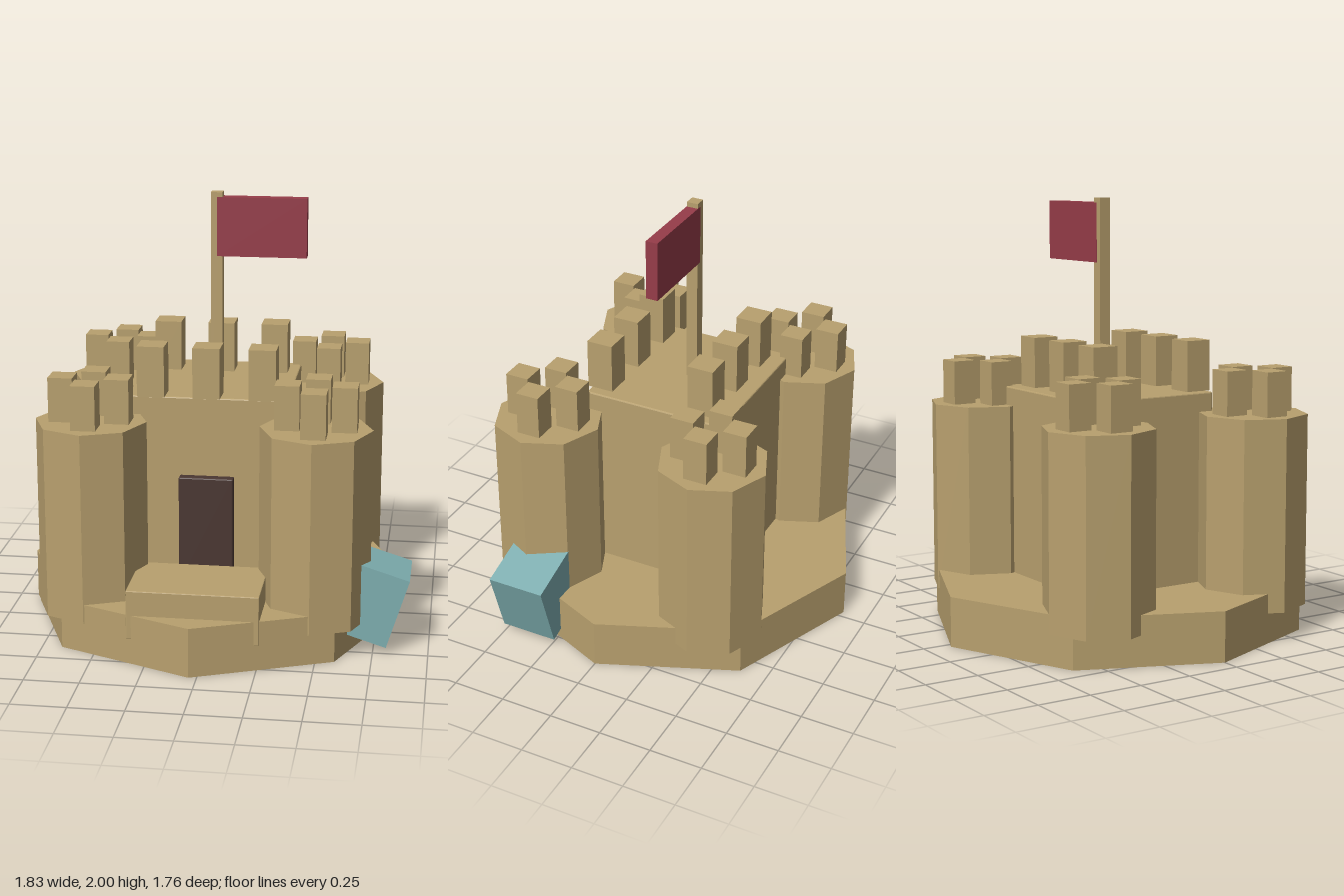
import * as THREE from 'three';
import { RoundedBoxGeometry } from 'three/addons/geometries/RoundedBoxGeometry.js';

const CX = -0.0365; // castle axis

function material(name, color) {
  const m = new THREE.MeshStandardMaterial({ color, flatShading: true });
  m.name = name;
  return m;
}

export function createModel() {
  const model = new THREE.Group();
  model.name = 'sandcastle';
  const sand = material('sand', 0xb8a06e);
  const red = material('flagRed', 0x963c49);
  const teal = material('bucketTeal', 0x7eaeb0);
  const dark = material('doorBrown', 0x4a3732);

  const add = (name, geometry, mat, x, y, z, parent = model) => {
    const mesh = new THREE.Mesh(geometry, mat);
    mesh.name = name;
    mesh.position.set(x, y, z);
    parent.add(mesh);
    return mesh;
  };
  // Box given by its lower and upper corners, optionally with a tiny chamfer
  const block = (name, mat, [x0, y0, z0], [x1, y1, z1], chamfer = 0) => {
    const size = [x1 - x0, y1 - y0, z1 - z0];
    const geometry = chamfer
      ? new RoundedBoxGeometry(...size, 1, chamfer)
      : new THREE.BoxGeometry(...size);
    return add(name, geometry, mat, (x0 + x1) / 2, (y0 + y1) / 2, (z0 + z1) / 2);
  };

  // Octagonal mound
  add('base', new THREE.CylinderGeometry(0.88, 0.88, 0.23, 8), sand, CX, 0.115, 0);

  // Central keep, front step and door
  block('keep', sand, [-0.405, 0.15, -0.395], [0.332, 1.115, 0.297], 0.006);
  block('frontStep', sand, [-0.335, 0.117, 0.395], [0.262, 0.347, 0.766], 0.004);
  block('door', dark, [-0.162, 0.235, 0.25], [0.09, 0.745, 0.339], 0.006);

  // Keep battlements, two rows of three
  const keepMerlon = new THREE.BoxGeometry(0.125, 0.235, 0.125);
  for (const z of [-0.256, 0.254])
    for (const i of [-1, 0, 1])
      add('keepMerlon', keepMerlon, sand, CX + i * 0.255, 1.2325, z);

  // Four corner towers, each with four merlons
  const towerGeometry = new THREE.CylinderGeometry(0.255, 0.255, 0.887, 8);
  const towerMerlon = new THREE.BoxGeometry(0.112, 0.21, 0.112);
  for (const sx of [-1, 1])
    for (const sz of [-1, 1]) {
      const tower = new THREE.Group();
      tower.name = 'cornerTower';
      tower.position.set(CX + sx * 0.511, 0, sz * 0.418);
      model.add(tower);
      add('towerBody', towerGeometry, sand, 0, 0.5835, 0, tower);
      for (let i = 0; i < 4; i++) {
        const a = (i * Math.PI) / 2;
        add('towerMerlon', towerMerlon, sand, Math.cos(a) * 0.128, 1.127, Math.sin(a) * 0.128, tower);
      }
    }

  // Flagpole and flag
  block('flagpole', sand, [-0.064, 1.1, -0.097], [-0.01, 2, -0.043]);
  block('flag', red, [-0.035, 1.703, -0.098], [0.38, 1.978, -0.042]);

  // Tilted bucket leaning on the front left tower
  const bucket = add('bucket', new THREE.BoxGeometry(0.3, 0.34, 0.272), teal, 0.717, 0.238, 0.372);
  bucket.rotation.z = -0.3;

  return model;
}
